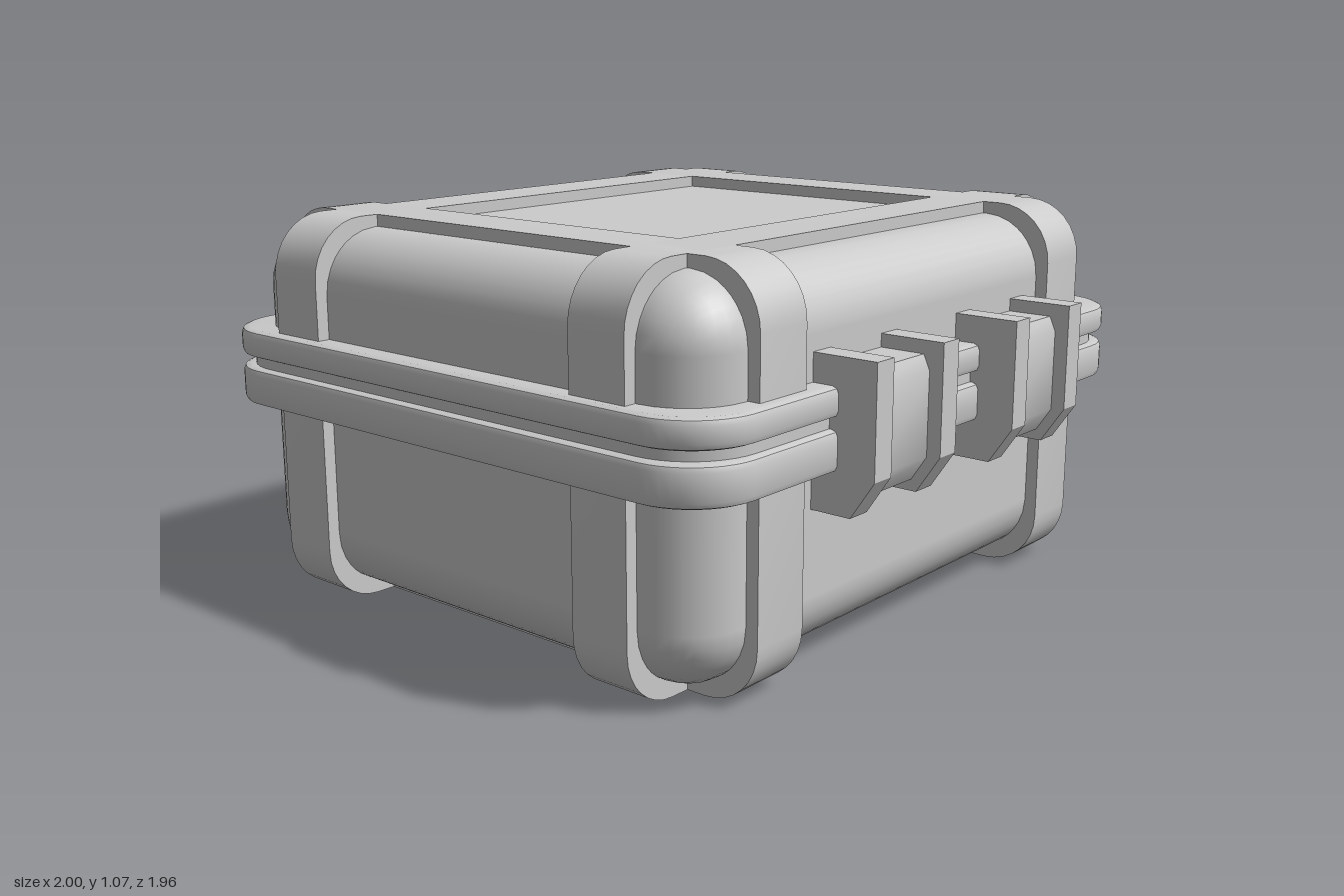
import * as THREE from 'three';
import { RoundedBoxGeometry } from 'three/addons/geometries/RoundedBoxGeometry.js';
import { toCreasedNormals } from 'three/addons/utils/BufferGeometryUtils.js';

const ZC = -0.02; // centre of the case in z; latches and hinge stick out unevenly
const grey = new THREE.MeshStandardMaterial({ color: 0xcccccc });

// Rounded rectangle centred on the origin
function roundedRect(w, h, r) {
  const x = w / 2 - r, y = h / 2 - r;
  const s = new THREE.Shape();
  s.moveTo(-x, -y - r);
  s.absarc(x, -y, r, -Math.PI / 2, 0);
  s.absarc(x, y, r, 0, Math.PI / 2);
  s.absarc(-x, y, r, Math.PI / 2, Math.PI);
  s.absarc(-x, -y, r, Math.PI, Math.PI * 1.5);
  return s;
}

// Extrusion centred on its depth, with an optional bevel kept inside the outline
function slab(shape, depth, bevel = 0, curveSegments = 4) {
  const g = new THREE.ExtrudeGeometry(shape, {
    depth: depth - 2 * bevel, curveSegments, bevelEnabled: bevel > 0,
    bevelSize: bevel, bevelThickness: bevel, bevelOffset: -bevel, bevelSegments: 2,
  });
  g.translate(0, 0, -depth / 2 + bevel);
  return g;
}

export function createModel() {
  const model = new THREE.Group();
  model.name = 'ruggedCase';

  function add(parent, name, geometry, x, y, z, crease = 0.75) {
    const mesh = new THREE.Mesh(crease ? toCreasedNormals(geometry, crease) : geometry, grey);
    mesh.name = name;
    mesh.position.set(x, y, z);
    parent.add(mesh);
    return mesh;
  }

  // Rounded shell
  add(model, 'shell', new RoundedBoxGeometry(1.86, 1.0, 1.64, 4, 0.17), 0, 0.537, ZC, 0);

  // Raised bands crossing the shell in both directions
  const bands = new THREE.Group();
  bands.name = 'bands';
  model.add(bands);
  for (const s of [-1, 1]) {
    const lengthwise = slab(roundedRect(1.71, 1.07, 0.16), 0.175).rotateY(Math.PI / 2);
    add(bands, 'frontToBackBand', lengthwise, s * 0.6625, 0.535, ZC);
    add(bands, 'sideToSideBand', slab(roundedRect(1.93, 1.07, 0.16), 0.175), 0, 0.535, ZC + s * 0.553);
  }

  // Two rims with a recessed seal between them
  const ring = (w, d, h, bevel) =>
    slab(roundedRect(w, d, 0.19), h, bevel, 5).rotateX(-Math.PI / 2);
  add(model, 'lidRim', ring(2, 1.79, 0.077, 0.018), 0, 0.7125, ZC);
  add(model, 'baseRim', ring(2, 1.79, 0.105, 0.018), 0, 0.5925, ZC);
  add(model, 'seal', ring(1.95, 1.74, 0.05, 0), 0, 0.66, ZC);

  // Side profile of a latch cheek, drawn as (z, y)
  const cheek = new THREE.Shape([
    [0.80, 0.435], [0.915, 0.435], [0.982, 0.535], [0.982, 0.825], [0.80, 0.825],
  ].map(([z, y]) => new THREE.Vector2(-z, y)).reverse());
  const clasp = new THREE.Shape([
    [0.80, 0.465], [0.90, 0.465], [0.943, 0.53], [0.943, 0.75], [0.925, 0.79], [0.80, 0.79],
  ].map(([z, y]) => new THREE.Vector2(-z, y)).reverse());

  // Front latches: a clasp between two cheeks
  for (const s of [-1, 1]) {
    const latch = new THREE.Group();
    latch.name = s > 0 ? 'leftLatch' : 'rightLatch';
    latch.position.x = s * 0.322;
    model.add(latch);
    add(latch, 'clasp', slab(clasp, 0.24).rotateY(Math.PI / 2), 0, 0, 0);
    for (const t of [-1, 1])
      add(latch, 'cheek', slab(cheek, 0.07).rotateY(Math.PI / 2), t * 0.144, 0, 0, 0.4);
  }

  // Full-width hinge on the back, rounded on its outer edges
  const hinge = slab(roundedRect(0.2, 0.285, 0.055), 1.145).rotateY(Math.PI / 2);
  add(model, 'hinge', hinge, 0, 0.6475, -0.882);

  return model;
}
